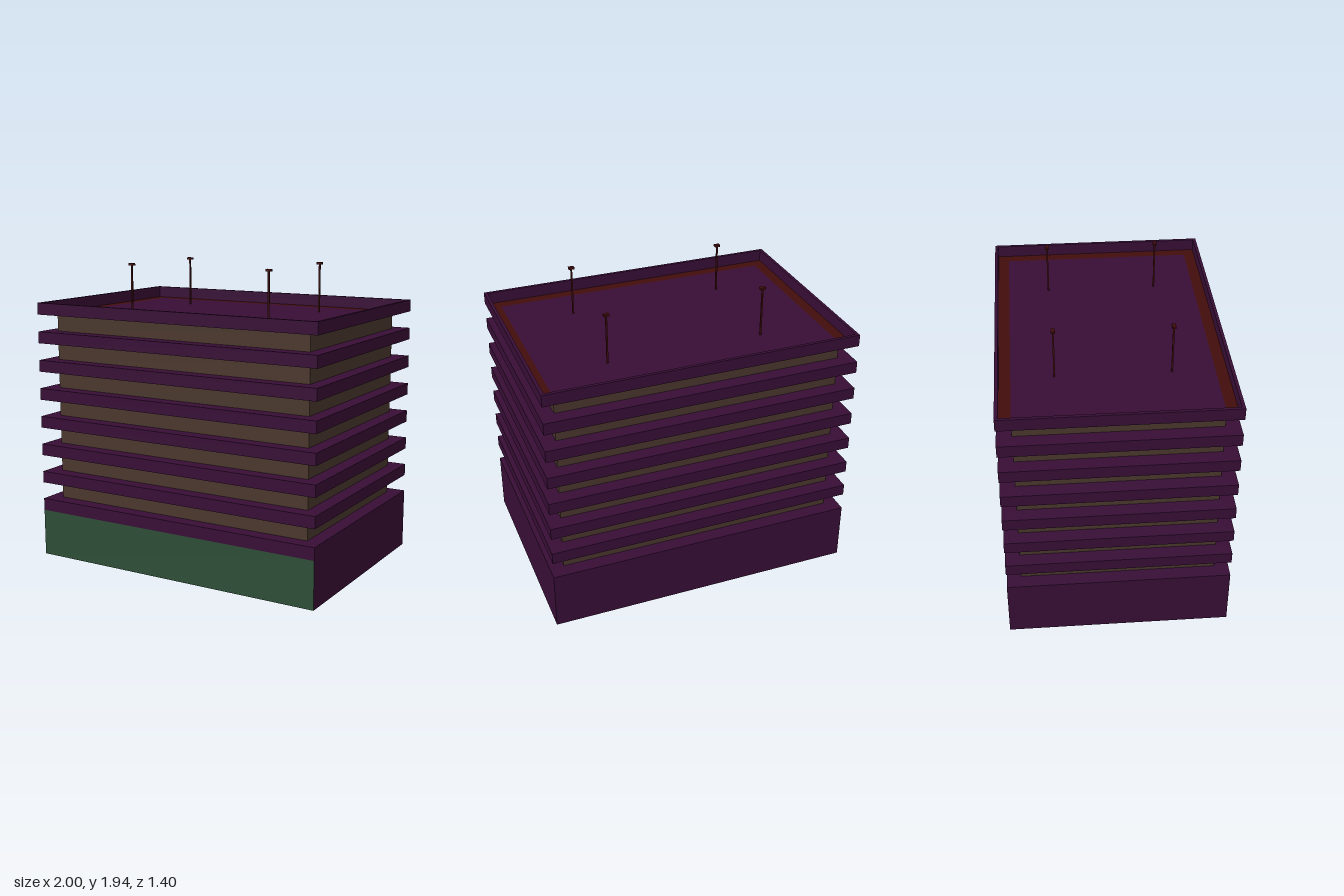
import * as THREE from 'three';

const mat = (name, color) => {
  const m = new THREE.MeshStandardMaterial({ color, side: THREE.DoubleSide });
  m.name = name;
  return m;
};

// Rectangular ring of faces between two levels [halfX, y, halfZ]; sides: 0 front, 1 left, 2 back, 3 right
function ring([x0, y0, z0], [x1, y1, z1], sides = [0, 1, 2, 3]) {
  const signs = [[-1, 1], [1, 1], [1, -1], [-1, -1]];
  const pos = [];
  for (const i of sides) {
    const [a, b] = [signs[i], signs[(i + 1) % 4]];
    const a0 = [a[0] * x0, y0, a[1] * z0], b0 = [b[0] * x0, y0, b[1] * z0];
    const a1 = [a[0] * x1, y1, a[1] * z1], b1 = [b[0] * x1, y1, b[1] * z1];
    pos.push(...a0, ...b0, ...b1, ...a0, ...b1, ...a1);
  }
  const g = new THREE.BufferGeometry();
  g.setAttribute('position', new THREE.Float32BufferAttribute(pos, 3));
  g.computeVertexNormals();
  return g;
}

export function createModel() {
  const model = new THREE.Group();
  model.name = 'officeBuilding';
  const purple = mat('purple concrete', 0x380e36);
  const red = mat('dark red', 0x430d0d);
  const brown = mat('brown glass', 0x4a372d);
  const green = mat('green shopfront', 0x2d4d36);

  const add = (name, geometry, material) => {
    const mesh = new THREE.Mesh(geometry, material);
    mesh.name = name;
    model.add(mesh);
    return mesh;
  };

  const outer = y => [1, y, 0.7];
  const inner = y => [0.91, y, 0.61];
  const lip = y => [0.98, y, 0.68];
  const baseTop = 0.385, step = 0.1865, band = 0.076, floors = 7, shopTop = 0.305;

  // Hollow ground floor with a green front
  add('shopfront', ring(outer(0), outer(shopTop), [0]), green);
  add('groundWalls', ring(outer(0), outer(shopTop), [1, 2, 3]), purple);
  add('groundBand', ring(outer(shopTop), outer(baseTop)), purple);
  add('groundLedge', ring(outer(baseTop), inner(baseTop)), purple);

  // Upper floors: set-back window strip, overhang underside, band and ledge
  for (let i = 1; i <= floors; i++) {
    const top = baseTop + i * step, bottom = top - band;
    add('windowStrip', ring(inner(top - step), inner(bottom)), brown);
    add('overhang', ring(inner(bottom), outer(bottom)), red);
    add('floorBand', ring(outer(bottom), outer(top)), purple);
    if (i < floors) add('ledge', ring(outer(top), inner(top)), purple);
  }

  // Parapet and sunken roof
  const roofTop = baseTop + floors * step, roofFloor = roofTop - band;
  add('parapetRim', ring(outer(roofTop), lip(roofTop)), purple);
  add('parapetInside', ring(lip(roofTop), lip(roofFloor)), purple);
  const roof = add('roof', new THREE.PlaneGeometry(1.82, 1.22).rotateX(-Math.PI / 2), purple);
  roof.position.y = roofFloor;

  // Four roof masts with small caps
  const mastTop = 1.94;
  for (const x of [-0.5, 0.5]) {
    for (const z of [-0.35, 0.35]) {
      const h = mastTop - roofFloor;
      add('mast', new THREE.BoxGeometry(0.01, h, 0.01), red).position.set(x, roofFloor + h / 2, z);
      add('mastCap', new THREE.BoxGeometry(0.036, 0.014, 0.024), red).position.set(x, mastTop - 0.007, z);
    }
  }
  return model;
}
